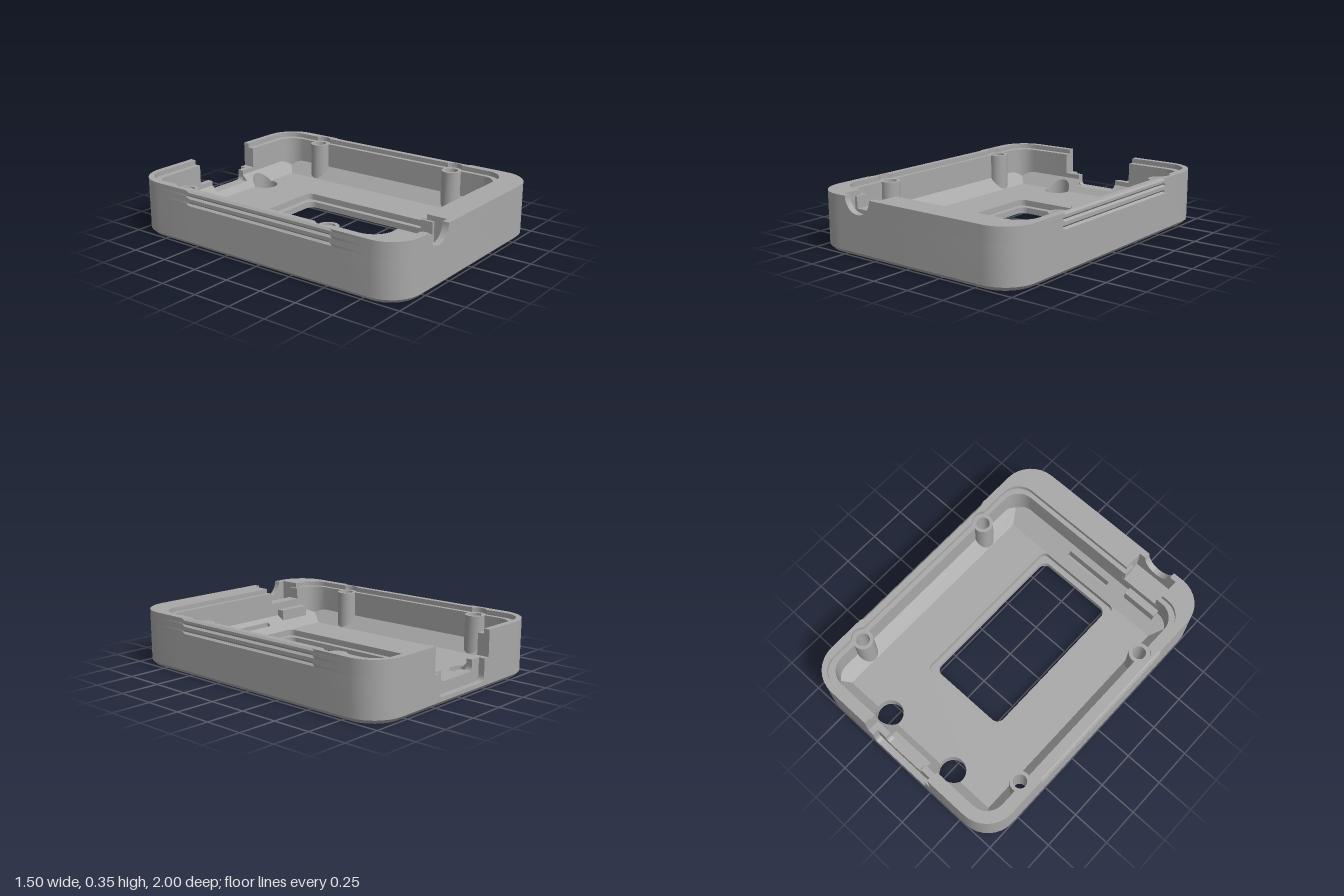
import * as THREE from 'three';
import { toCreasedNormals } from 'three/addons/utils/BufferGeometryUtils.js';

const TOP = 0.355, LEDGE = 0.325, FLOOR = 0.08, SILL = 0.2, PI = Math.PI;
const GAP = 0.26, BACK_SILL = 0.19, NOTCH = [-0.235, -0.525];
const BOSS_X = 0.655, BOSS_Z = [-0.63, 0.455], BOSS_R = 0.064;
const PORT = { x: 0.27, z: -0.82, r: 0.085 };
const PHI = Math.asin(0.02 / PORT.r);

// Points are [x, z]
const arc = (cx, cz, r, a0, a1, n = 8) => Array.from({ length: n + 1 }, (_, i) => {
  const a = a0 + (a1 - a0) * i / n;
  return [cx + r * Math.cos(a), cz + r * Math.sin(a)];
});
const circle = (cx, cz, r) => arc(cx, cz, r, 0, 2 * PI, 32);
const rect = (x0, x1, z0, z1, r = 0) => r ? [
  ...arc(x1 - r, z0 + r, r, -PI / 2, 0), ...arc(x1 - r, z1 - r, r, 0, PI / 2),
  ...arc(x0 + r, z1 - r, r, PI / 2, PI), ...arc(x0 + r, z0 + r, r, PI, 1.5 * PI),
] : [[x0, z0], [x1, z0], [x1, z1], [x0, z1]];
const closed = (pts) => [...pts, pts[0]];
const mirror = (pts) => pts.map(([x, z]) => [-x, z]);

// Height of the pocket bottom: flat floor with sloped skirts
const bottom = (x, z) => FLOOR + Math.max(0, Math.abs(x) - 0.59, -0.84 - z, (z - 0.67) * 0.08 / 0.13);

// Outline as two open paths, from the back gap round each side to the front notch
function outline(X, zb, zf, r, sidePts) {
  const half = [[GAP, zb], ...arc(X - r, zb + r, r, -PI / 2, 0), ...sidePts,
    ...arc(X - r, zf - r, r, 0, PI / 2)];
  return [[...half, [NOTCH[0], zf]], [[NOTCH[1], zf], ...mirror(half).reverse()]];
}
const bossBumps = (X, R, inward) => BOSS_Z.flatMap((z) => {
  const t = Math.acos((X - BOSS_X) / R);
  return arc(BOSS_X, z, R, -t, inward ? t - 2 * PI : t, 16);
});
const grip = (X, d) => [[X, -0.555], [X - d, -0.53], [X - d, 0.53], [X, 0.555]];
const outer = (d = 0, inset = 0) => outline(0.75 - inset, -1 + inset, 1 - inset, 0.2 - inset, grip(0.75 - inset, d));

export function createModel() {
  const group = new THREE.Group();
  const grey = new THREE.MeshStandardMaterial({ color: 0xa8a8a8, side: THREE.DoubleSide });
  grey.name = 'grey plastic';

  const add = (name, geo) => {
    const mesh = new THREE.Mesh(geo, grey);
    mesh.name = name;
    group.add(mesh);
    return mesh;
  };
  const at = (y, p) => typeof y === 'function' ? y(p[0], p[1]) : y;

  // Upright strip between a lower and an upper path
  function band(name, low, y0, y1, outward = false, high = low) {
    const pos = [], idx = [];
    low.forEach((p, i) => {
      const q = high[i];
      pos.push(p[0], at(y0, p), p[1], q[0], at(y1, q), q[1]);
      if (i === 0) return;
      const a = 2 * i - 2, b = a + 1, c = a + 2, d = a + 3;
      idx.push(...(outward ? [a, d, c, a, b, d] : [a, c, d, a, d, b]));
    });
    const g = new THREE.BufferGeometry();
    g.setAttribute('position', new THREE.Float32BufferAttribute(pos, 3));
    g.setIndex(idx);
    g.computeVertexNormals();
    add(name, toCreasedNormals(g, 0.5));
  }

  // Level or sloped face filling an outline
  function cap(name, pts, y, holes = [], up = true) {
    const vec = (list) => list.map(([x, z]) => new THREE.Vector2(x, z));
    const shape = new THREE.Shape(vec(pts));
    shape.holes = holes.map((h) => new THREE.Path(vec(h)));
    const g = new THREE.ShapeGeometry(shape);
    const p = g.attributes.position;
    for (let i = 0; i < p.count; i++) {
      const x = p.getX(i), z = p.getY(i);
      p.setXYZ(i, x, at(y, [x, z]), z);
    }
    if (up) g.index.array.reverse();
    g.computeVertexNormals();
    add(name, g);
  }
  function plate(name, shape, x, z, depth) {
    const g = new THREE.ExtrudeGeometry(shape, { depth, bevelEnabled: false, curveSegments: 24 });
    add(name, toCreasedNormals(g, 0.5)).position.set(x, 0, z);
  }
  function block(name, x0, x1, y0, y1, z0, z1) {
    add(name, new THREE.BoxGeometry(x1 - x0, y1 - y0, z1 - z0))
      .position.set((x0 + x1) / 2, (y0 + y1) / 2, (z0 + z1) / 2);
  }

  // Outer walls with bottom chamfer and side grip grooves: [height, groove depth, inset]
  const levels = [[0, 0, 0.025], [0.025, 0], [0.258, 0], [0.27, 0.012], [0.282, 0], [0.303, 0],
    [0.315, 0.012], [0.327, 0], [0.343, 0], [TOP, 0.012]];
  for (let i = 1; i < levels.length; i++) {
    const [ya, da, ia] = levels[i - 1], [yb, db, ib] = levels[i];
    const a = outer(da, ia), b = outer(db, ib);
    [0, 1].forEach((s) => band('outerWall', a[s], ya, yb, true, b[s]));
  }
  const front = (z) => NOTCH.map((x) => [x, z]);
  const back = (z) => [[-GAP, z], [GAP, z]];
  band('frontChamfer', front(0.975), 0, 0.025, true, front(1));
  band('backChamfer', back(-0.975), 0, 0.025, true, back(-1));
  band('frontLowerWall', front(1), 0.025, SILL, true);

  // Rim, stepped ledge and inner walls
  const rim = outer(0.012);
  const lip = outline(0.7, -0.96, 0.83, 0.13, bossBumps(0.7, 0.07, false));
  const bumps = bossBumps(0.67, BOSS_R, true);
  const inner = outline(0.67, -0.92, 0.8, 0.12, bumps);
  [0, 1].forEach((s) => {
    const bores = BOSS_Z.map((z) => circle(s ? -BOSS_X : BOSS_X, z, 0.042));
    cap('rim', [...rim[s], ...lip[s].slice().reverse()], TOP);
    band('lipStep', lip[s], LEDGE, TOP);
    cap('ledge', [...lip[s], ...inner[s].slice().reverse()], LEDGE, bores);
    band('innerWall', inner[s], bottom, LEDGE);
  });
  band('frontInnerWall', front(0.8), bottom, SILL);

  // Screw bores with counterbores from below
  const bossCentres = [-1, 1].flatMap((s) => BOSS_Z.map((z) => [s * BOSS_X, z]));
  for (const [x, z] of bossCentres) {
    band('screwBore', circle(x, z, 0.042), 0.06, LEDGE);
    band('counterbore', circle(x, z, 0.06), 0, 0.06);
    cap('counterboreSeat', circle(x, z, 0.06), 0.06, [circle(x, z, 0.042)], false);
  }

  // Underside, window and round ports
  const windowEdge = rect(-0.27, 0.27, -0.41, 0.63, 0.05);
  const recess = rect(-0.305, 0.305, -0.45, 0.666, 0.04);
  const ports = [-PORT.x, PORT.x].map((x) => circle(x, PORT.z, PORT.r));
  cap('underside', outer(0, 0.025).flat(), 0,
    [windowEdge, ...ports, ...bossCentres.map(([x, z]) => circle(x, z, 0.06))], false);
  band('windowEdge', closed(windowEdge), 0, 0.04);
  cap('windowLedge', recess, 0.04, [windowEdge]);
  band('windowRecess', closed(recess), 0.04, FLOOR);
  ports.forEach((p) => band('portWall', p, 0, bottom));

  // Pocket floor and sloped skirts
  const portArc = (x, a0, a1) => arc(x, PORT.z, PORT.r, a0, a1, 20);
  cap('floor', [[-0.59, -0.84], ...[-PORT.x, PORT.x].flatMap((x) => portArc(x, PI + PHI, -PHI)),
    [0.59, -0.84], [0.59, 0.67], [-0.59, 0.67]], FLOOR, [recess]);
  cap('backSlope', [[-0.59, -0.84], [-0.67, -0.92], [-0.15, -0.92], [-0.15, -0.88], [0.15, -0.88],
    [0.15, -0.92], [0.67, -0.92], [0.59, -0.84],
    ...[PORT.x, -PORT.x].flatMap((x) => portArc(x, -PHI, PHI - PI))], bottom);
  const side = [[0.59, -0.84], [0.67, -0.92], ...bumps, [0.67, 0.8], [0.59, 0.67]];
  cap('sideSlope', side, bottom);
  cap('sideSlope', mirror(side), bottom);
  const slot = rect(-0.17, 0.165, 0.73, 0.762);
  cap('frontSlope', [[-0.59, 0.67], [0.59, 0.67], [0.67, 0.8], [-0.67, 0.8]], bottom, [slot]);
  band('slotWall', closed(slot), 0.07, bottom);
  cap('slotFloor', slot, 0.07);
  cap('arrowMark', [[-0.4, 0.695], [-0.36, 0.695], [-0.38, 0.715]], (x, z) => bottom(x, z) + 0.003);

  // Front cable notch
  const [nx1, nx0] = NOTCH;
  const arch = new THREE.Shape();
  arch.moveTo(-0.145, SILL).lineTo(0.145, SILL).lineTo(0.145, TOP).lineTo(0.1, TOP);
  arch.absarc(0, TOP, 0.1, 0, PI, true);
  arch.lineTo(-0.145, TOP);
  plate('cableNotch', arch, -0.38, 0.96, 0.04);
  cap('cablePocketFloor', rect(nx0, nx1, 0.8, 0.96), SILL);
  NOTCH.forEach((x, i) => {
    band('cablePocketSide', [[x, 0.83], [x, 0.96]], SILL, TOP, i === 1);
    band('cablePocketSide', [[x, 0.8], [x, 0.83]], SILL, LEDGE, i === 1);
  });
  block('cableSaddle', nx0, nx1, SILL, 0.25, 0.8, 0.88);
  block('cableJaw', nx0, nx0 + 0.018, SILL, LEDGE - 0.002, 0.802, 0.88);
  block('cableJaw', nx1 - 0.018, nx1, SILL, LEDGE - 0.002, 0.802, 0.88);
  block('cableShelf', -0.545, -0.31, 0.1, SILL, 0.75, 0.802);

  // Back connector opening: wide outer recess, then a narrower port
  function uShape(u, yb, r) {
    const s = new THREE.Shape();
    s.moveTo(-GAP, 0.025).lineTo(GAP, 0.025).lineTo(GAP, BACK_SILL).lineTo(u, BACK_SILL).lineTo(u, yb + r);
    s.quadraticCurveTo(u, yb, u - r, yb).lineTo(r - u, yb);
    s.quadraticCurveTo(-u, yb, -u, yb + r).lineTo(-u, BACK_SILL).lineTo(-GAP, BACK_SILL);
    return s;
  }
  plate('connectorRecess', uShape(0.22, 0.05, 0.04), 0, -1, 0.04);
  plate('connectorPort', uShape(0.15, 0.12, 0.03), 0, -0.96, 0.04);
  cap('connectorFloor', rect(-0.15, 0.15, -0.92, -0.88), 0.12);
  for (const s of [-1, 1]) {
    band('connectorCheek', [[s * 0.15, -0.92], [s * 0.15, -0.88]], 0.12, bottom, s < 0);
    band('backGapSide', [[s * GAP, -1], [s * GAP, -0.96]], BACK_SILL, TOP, s < 0);
    band('backGapSide', [[s * GAP, -0.96], [s * GAP, -0.92]], BACK_SILL, LEDGE, s < 0);
  }
  return group;
}
